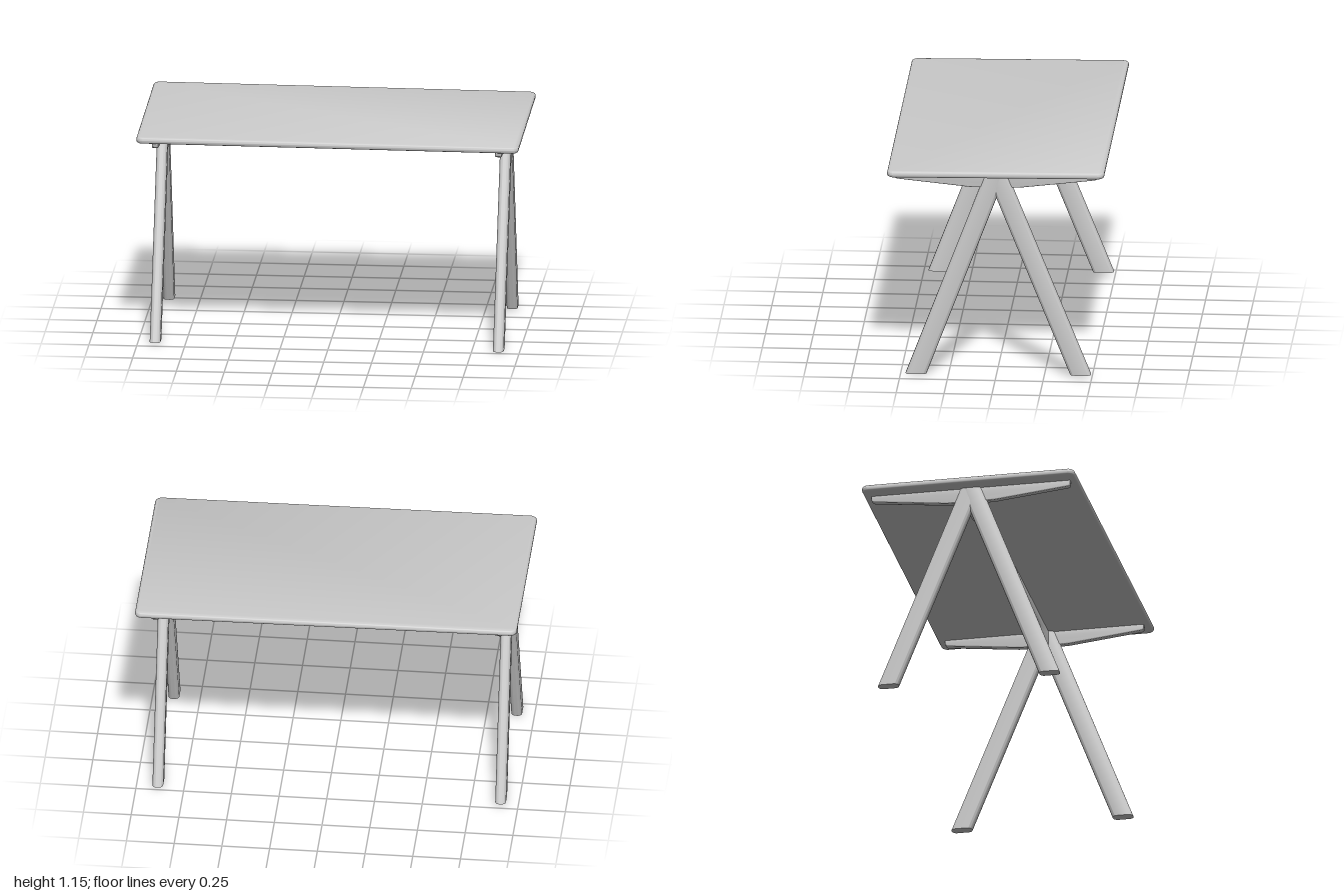
import * as THREE from 'three';
import { toCreasedNormals } from 'three/addons/utils/BufferGeometryUtils.js';

const material = new THREE.MeshStandardMaterial({ color: 0xcccccc });

function part(name, geometry) {
  const mesh = new THREE.Mesh(toCreasedNormals(geometry, 0.6), material);
  mesh.name = name;
  return mesh;
}

function roundedRect(w, h, r) {
  const s = new THREE.Shape();
  const x = w / 2, y = h / 2;
  s.absarc(x - r, y - r, r, 0, Math.PI / 2);
  s.absarc(-x + r, y - r, r, Math.PI / 2, Math.PI);
  s.absarc(-x + r, -y + r, r, Math.PI, Math.PI * 1.5);
  s.absarc(x - r, -y + r, r, Math.PI * 1.5, Math.PI * 2);
  s.closePath();
  return s;
}

// Extrusion of the given total depth, centred on z, with rounded edges
function softExtrude(shape, depth, bevel, segments = 4) {
  const g = new THREE.ExtrudeGeometry(shape, {
    depth: depth - 2 * bevel, bevelThickness: bevel, bevelSize: bevel,
    bevelOffset: -bevel, bevelSegments: segments, curveSegments: 10,
  });
  return g.translate(0, 0, -depth / 2 + bevel);
}

const TOP_Y = 1.128, UNDER_Y = 1.095;
const LEG_X = 0.898, FOOT_Z = 0.43, LEG_HEIGHT = 1.1;

// Rounded upright sheared inward so that front and back legs merge at the apex
function legGeometry(side) {
  const g = new THREE.ExtrudeGeometry(roundedRect(0.056, 0.11, 0.024), {
    depth: LEG_HEIGHT, bevelEnabled: false, curveSegments: 8,
  });
  g.rotateX(-Math.PI / 2);
  const p = g.attributes.position;
  for (let i = 0; i < p.count; i++) {
    p.setZ(i, p.getZ(i) + side * FOOT_Z * (1 - p.getY(i) / LEG_HEIGHT));
  }
  return g;
}

// Tapered arm that carries the top, running front to back
function armGeometry() {
  const s = new THREE.Shape();
  s.moveTo(-0.53, 1.1);
  s.lineTo(-0.53, 1.078);
  s.quadraticCurveTo(-0.53, 1.066, -0.515, 1.063);
  s.lineTo(-0.16, 1.024);
  s.quadraticCurveTo(-0.13, 1.02, -0.1, 1.02);
  s.lineTo(0.1, 1.02);
  s.quadraticCurveTo(0.13, 1.02, 0.16, 1.024);
  s.lineTo(0.515, 1.063);
  s.quadraticCurveTo(0.53, 1.066, 0.53, 1.078);
  s.lineTo(0.53, 1.1);
  s.closePath();
  return softExtrude(s, 0.034, 0.005, 3).rotateY(Math.PI / 2);
}

// Long rail, deeper at both ends with a curved step
function railGeometry() {
  const s = new THREE.Shape();
  const end = LEG_X - 0.01, low = 0.984, high = 1.044;
  s.moveTo(-end, 1.1);
  s.lineTo(-end, low);
  s.lineTo(-0.765, low);
  s.bezierCurveTo(-0.705, low, -0.725, high, -0.64, high);
  s.lineTo(0.64, high);
  s.bezierCurveTo(0.725, high, 0.705, low, 0.765, low);
  s.lineTo(end, low);
  s.lineTo(end, 1.1);
  s.closePath();
  return softExtrude(s, 0.05, 0.008, 3);
}

export function createModel() {
  const table = new THREE.Group();
  table.name = 'table';

  const top = softExtrude(roundedRect(2, 1.135, 0.035), TOP_Y - UNDER_Y, 0.014);
  top.rotateX(-Math.PI / 2).translate(0, (TOP_Y + UNDER_Y) / 2, 0);
  const tableTop = part('tableTop', top);
  tableTop.position.set(-0.006, 0, -0.012);
  table.add(tableTop);

  // Trestle: two A-shaped leg pairs with arms, joined by the rail
  const base = new THREE.Group();
  base.name = 'base';
  base.position.set(-0.01, 0, -0.01);
  for (const [sx, xName] of [[1, 'left'], [-1, 'right']]) {
    for (const [sz, zName] of [[1, 'Front'], [-1, 'Back']]) {
      const leg = part(xName + zName + 'Leg', legGeometry(sz));
      leg.position.x = sx * LEG_X;
      base.add(leg);
    }
    const arm = part(xName + 'SupportArm', armGeometry());
    arm.position.x = sx * LEG_X;
    base.add(arm);
  }
  base.add(part('rail', railGeometry()));
  table.add(base);

  // The whole table leans very slightly to the front left
  table.rotation.set(0.01, 0, -0.006);
  table.position.y = 0.01;

  const model = new THREE.Group();
  model.name = 'model';
  model.add(table);
  return model;
}
